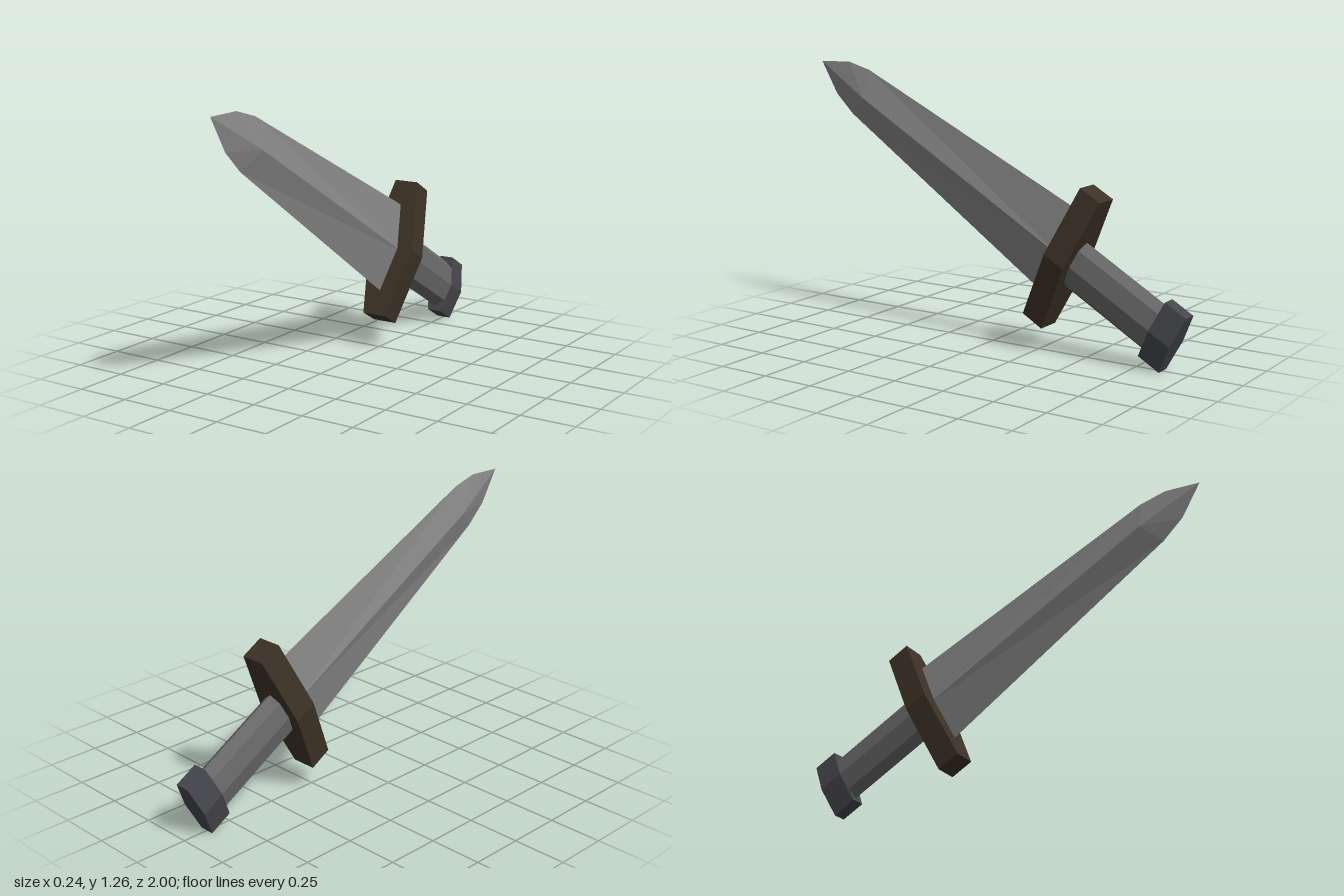
import * as THREE from 'three';

// Sword space: x = thickness, y = blade width, z = along the blade from the guard centre.
// The cross pieces lean slightly against the blade axis, so the basis is a little sheared.
const tilt = new THREE.Matrix4().makeBasis(
  new THREE.Vector3(1, 0, 0),
  new THREE.Vector3(0, 0.9, -0.435),
  new THREE.Vector3(0, 0.502, 0.865)
).setPosition(0, 0.446, -0.394);

function part(name, geometry, color) {
  geometry.applyMatrix4(tilt);
  const material = new THREE.MeshStandardMaterial({ color, flatShading: true });
  const mesh = new THREE.Mesh(geometry, material);
  mesh.name = name;
  return mesh;
}

// Long hexagonal plate: narrow at both ends, widest in the middle
function hexPlate(halfLength, endX, midX, depth, z) {
  const shape = new THREE.Shape([
    [endX, -halfLength], [midX, 0], [endX, halfLength],
    [-endX, halfLength], [-midX, 0], [-endX, -halfLength],
  ].map(([x, y]) => new THREE.Vector2(x, y)));
  return new THREE.ExtrudeGeometry(shape, { depth, bevelEnabled: false })
    .translate(0, 0, z - depth / 2);
}

// Diamond-section blade; each station gives the ridge and the cutting edge
function bladeGeometry() {
  const stations = [ // ridge z, ridge x, edge z, edge y
    [0, 0.04, 0, 0.219],
    [1.285, 0.04, 1.337, 0.12],
    [1.285, 0.04, 1.4625, 0.088],
    [1.611, 0, 1.611, 0],
  ];
  const positions = [];
  for (let i = 0; i < stations.length - 1; i++) {
    for (const sx of [1, -1]) for (const sy of [1, -1]) {
      const ridge = ([z, x]) => [sx * x, 0, z];
      const edge = ([, , z, y]) => [0, sy * y, z];
      const a = ridge(stations[i]), b = edge(stations[i]);
      const c = edge(stations[i + 1]), d = ridge(stations[i + 1]);
      const corners = sx * sy > 0 ? [a, b, c, a, c, d] : [a, c, b, a, d, c];
      // outward winding, mirrored per quarter
      for (let k = 0; k < 6; k += 3) positions.push(...corners[k], ...corners[k + 1], ...corners[k + 2]);
    }
  }
  const geometry = new THREE.BufferGeometry();
  geometry.setAttribute('position', new THREE.Float32BufferAttribute(positions, 3));
  geometry.computeVertexNormals();
  return geometry;
}

export function createModel() {
  const sword = new THREE.Group();
  sword.name = 'sword';

  // Eight-sided oval grip running from the guard into the pommel
  const grip = new THREE.CylinderGeometry(1, 1, 0.56, 8)
    .rotateX(Math.PI / 2).scale(0.065, 0.118, 1).translate(0, 0, -0.28);

  sword.add(
    part('blade', bladeGeometry(), 0x858585),
    part('guard', hexPlate(0.333, 0.06, 0.12, 0.113, 0), 0x3d3226),
    part('grip', grip, 0x686868),
    part('pommel', hexPlate(0.142, 0.035, 0.067, 0.117, -0.569), 0x45464c)
  );
  return sword;
}
